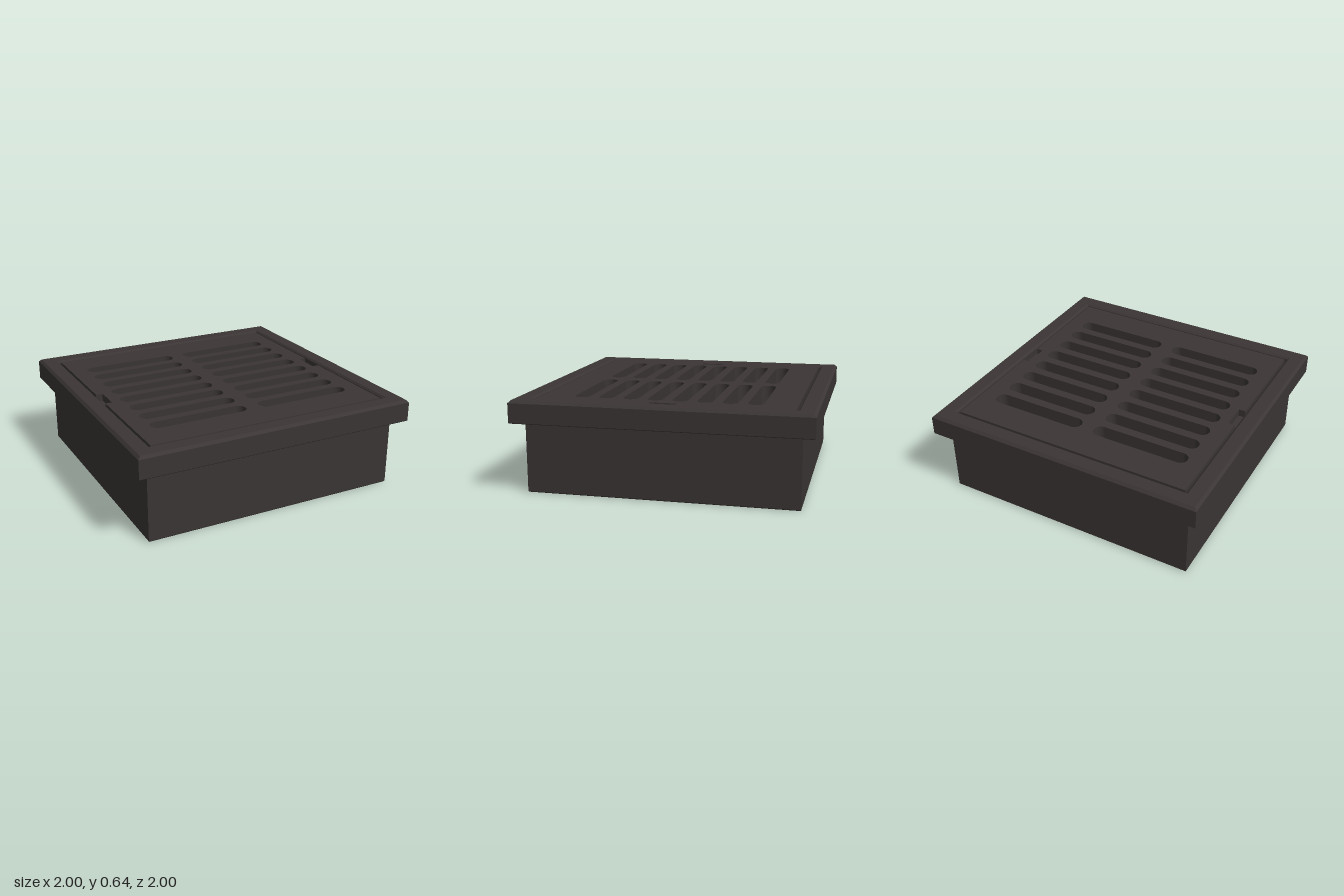
import * as THREE from 'three';

const castIron = new THREE.MeshStandardMaterial({ color: 0x3b3535 });
castIron.name = 'dark cast iron';

// Square ring swept from a closed [half-width, height] profile
function squareRing(profile, name) {
  const points = profile.concat([profile[0]]).map(([r, y]) => new THREE.Vector2(r * Math.SQRT2, y));
  const geometry = new THREE.LatheGeometry(points, 4, Math.PI / 4).toNonIndexed();
  geometry.computeVertexNormals();
  const mesh = new THREE.Mesh(geometry, castIron);
  mesh.name = name;
  return mesh;
}

// Rounded drain slot centred on (x, z)
function slot(x, z, length, radius) {
  const h = length / 2 - radius;
  const path = new THREE.Path();
  path.absarc(x + h, z, radius, -Math.PI / 2, Math.PI / 2);
  path.absarc(x - h, z, radius, Math.PI / 2, Math.PI * 1.5);
  path.closePath();
  return path;
}

// Slotted plate layer between two heights
function plate(outline, y0, y1, name) {
  const shape = new THREE.Shape(outline.map(([x, z]) => new THREE.Vector2(x, z)));
  for (let i = 0; i < 8; i++) {
    for (const side of [-1, 1]) shape.holes.push(slot(side * 0.398, (i - 3.5) * 0.168, 0.695, 0.052));
  }
  const geometry = new THREE.ExtrudeGeometry(shape, { depth: y1 - y0, bevelEnabled: false, curveSegments: 12 });
  geometry.rotateX(-Math.PI / 2).translate(0, y0, 0);
  const mesh = new THREE.Mesh(geometry, castIron);
  mesh.name = name;
  return mesh;
}

export function createModel() {
  const model = new THREE.Group();
  model.name = 'drainGrate';

  // Skirt, overhanging chamfered collar and the ledge carrying the grate
  model.add(squareRing([
    [0.785, 0.58], [0.785, 0], [0.911, 0], [0.916, 0.006], [0.916, 0.485],
    [0.995, 0.485], [1, 0.49], [1, 0.622], [0.982, 0.64],
    [0.89, 0.64], [0.876, 0.628], [0.876, 0.58],
  ], 'frame'));

  // Grate: slotted core and a wider top with a lifting notch at each side
  const grate = new THREE.Group();
  grate.name = 'grate';
  const c = 0.785, e = 0.862, n = 0.815, w = 0.09;
  grate.add(plate([[-c, -c], [c, -c], [c, c], [-c, c]], 0.47, 0.58, 'grateCore'));
  grate.add(plate([
    [-e, -e], [e, -e], [e, -w], [n, -w], [n, w], [e, w],
    [e, e], [-e, e], [-e, w], [-n, w], [-n, -w], [-e, -w],
  ], 0.58, 0.632, 'grateTop'));
  model.add(grate);

  return model;
}
